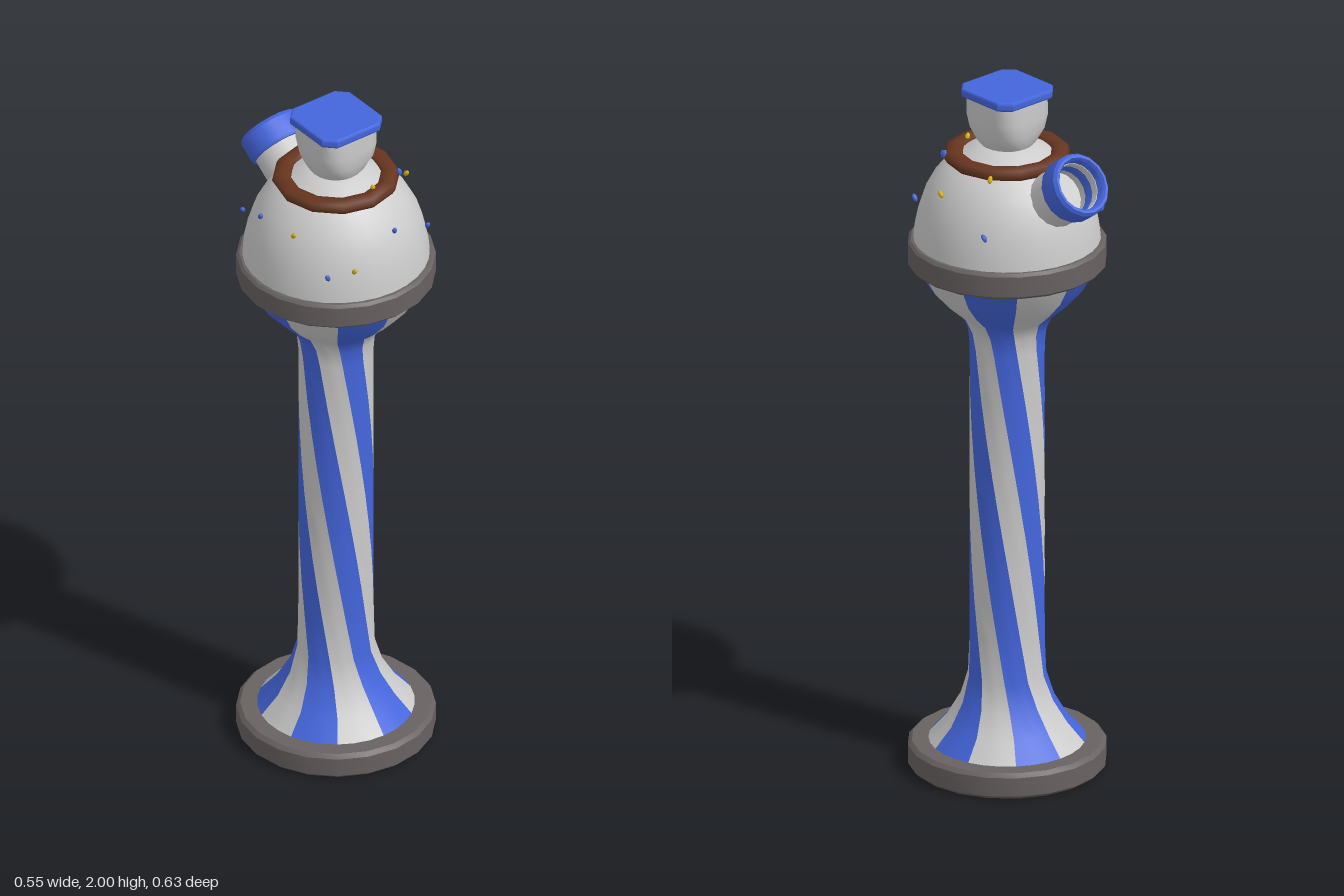
import * as THREE from 'three';
import { toCreasedNormals, mergeVertices } from 'three/addons/utils/BufferGeometryUtils.js';

const mat = (color) => new THREE.MeshStandardMaterial({ color, side: THREE.DoubleSide });
const white = mat(0xcccccc), blue = mat(0x4466dd), dark = mat(0x686261);
const brown = mat(0x66351f), yellow = mat(0xd6ae10);

function add(parent, name, geometry, material) {
  const mesh = new THREE.Mesh(geometry, material);
  mesh.name = name;
  parent.add(mesh);
  return mesh;
}

// Turned part from [radius, height] pairs, with edges kept sharp
function turned(points, sides = 20, crease = 0.6) {
  const g = new THREE.LatheGeometry(points.map(([r, y]) => new THREE.Vector2(r, y)), sides);
  return toCreasedNormals(g, crease);
}

// Surface from a rule point(u, v) over a grid
function surface(point, nu, nv) {
  const pos = [], index = [];
  for (let j = 0; j <= nv; j++)
    for (let i = 0; i <= nu; i++) pos.push(...point(i / nu, j / nv));
  for (let j = 0; j < nv; j++)
    for (let i = 0; i < nu; i++) {
      const a = j * (nu + 1) + i, b = a + nu + 1;
      index.push(a, a + 1, b, a + 1, b + 1, b);
    }
  let g = new THREE.BufferGeometry();
  g.setAttribute('position', new THREE.Float32BufferAttribute(pos, 3));
  g.setIndex(index);
  g = mergeVertices(g);
  g.computeVertexNormals();
  return g;
}

// Linear lookup of column radius at a height
const column = [[0.22, 0.07], [0.168, 0.13], [0.13, 0.195], [0.107, 0.27], [0.103, 0.4], [0.103, 1.24],
  [0.108, 1.29], [0.125, 1.33], [0.17, 1.37], [0.215, 1.42], [0.253, 1.49]];
function columnRadius(y) {
  const k = Math.max(1, column.findIndex((p) => p[1] >= y - 1e-6));
  const [r0, y0] = column[k - 1], [r1, y1] = column[k];
  return r0 + (r1 - r0) * (y - y0) / (y1 - y0);
}

export function createModel() {
  const model = new THREE.Group();
  const body = new THREE.Group();
  body.name = 'body';
  body.position.z = 0.04;
  model.add(body);

  // Foot disc and the collar under the dome
  add(body, 'foot', turned([[0, 0], [0.262, 0], [0.273, 0.01], [0.273, 0.064], [0.262, 0.075], [0, 0.077]]), dark);
  add(body, 'collar', turned([[0.24, 1.48], [0.265, 1.48], [0.273, 1.488], [0.273, 1.547], [0.265, 1.555], [0.24, 1.557]]), dark);

  // Ten stripes that twist along the straight part of the column
  const heights = [...column.map((p) => p[1])];
  for (let y = 0.5; y < 1.2; y += 0.1) heights.push(y);
  heights.sort((a, b) => a - b);
  for (let s = 0; s < 10; s++) {
    const stripe = surface((u, v) => {
      const y = heights[Math.round(v * (heights.length - 1))];
      const twist = THREE.MathUtils.clamp((y - 0.16) / (1.34 - 0.16), 0, 1) * -0.6 * Math.PI;
      const a = (s + u) * Math.PI / 5 + twist, r = columnRadius(y);
      return [r * Math.sin(a), y, r * Math.cos(a)];
    }, 3, heights.length - 1);
    add(body, 'columnStripe', stripe, s % 2 ? white : blue);
  }

  // Dome with a raised centre
  add(body, 'dome', turned([[0.258, 1.54], [0.253, 1.59], [0.243, 1.64], [0.227, 1.69], [0.2, 1.74],
    [0.165, 1.78], [0.13, 1.805], [0.1, 1.82], [0.07, 1.838], [0, 1.84]], 32, 1), white);

  // Flattened ring on top of the dome
  const ring = new THREE.TorusGeometry(0.148, 0.028, 8, 12);
  ring.rotateX(Math.PI / 2).scale(1, 0.7, 1);
  add(body, 'topRing', ring, brown).position.y = 1.802;

  // Neck that changes from round to square, as [half width, height, squareness]
  const neck = [[0.07, 1.832, 0], [0.08, 1.85, 0.1], [0.089, 1.88, 0.35], [0.092, 1.92, 0.6], [0.09, 1.985, 0.75]];
  add(body, 'neck', surface((u, v) => {
    const [w, y, q] = neck[Math.round(v * 4)];
    const a = u * 2 * Math.PI, s = Math.sin(a), c = Math.cos(a);
    const n = 2 + 4 * q;
    const r = w / Math.pow(Math.abs(s) ** n + Math.abs(c) ** n, 1 / n);
    return [r * s, y, r * c];
  }, 24, 4), white);

  // Square cap with cut corners
  const h = 0.097, c = 0.07;
  const square = new THREE.Shape([[h, -c], [h, c], [c, h], [-c, h], [-h, c], [-h, -c], [-c, -h], [c, -h]]
    .map(([x, y]) => new THREE.Vector2(x, y)));
  const cap = new THREE.ExtrudeGeometry(square, { depth: 0.012, bevelThickness: 0.007, bevelSize: 0.006, bevelSegments: 2 });
  cap.rotateX(-Math.PI / 2);
  add(body, 'cap', cap, blue).position.y = 1.981;

  // Hollow spout leaning up and back, its mouth at the local origin
  const spout = new THREE.Group();
  spout.name = 'spout';
  spout.position.set(0, 1.805, -0.265);
  spout.rotation.x = -THREE.MathUtils.degToRad(55);
  model.add(spout);
  add(spout, 'spoutPipe', turned([[0.08, -0.22], [0.08, -0.03], [0.068, -0.03], [0.068, -0.11], [0, -0.11]], 16), white);
  add(spout, 'spoutRim', turned([[0.078, -0.072], [0.087, -0.072], [0.091, -0.064], [0.091, -0.01], [0.084, 0],
    [0.077, 0], [0.071, -0.008], [0.066, -0.085]], 16), blue);

  // Sprinkles scattered over the dome
  const sprinkles = [
    [blue, [[-0.17, 1.655, -0.157], [0.216, 1.655, -0.103], [-0.223, 1.735, -0.007], [-0.175, 1.64, 0.233],
      [0.177, 1.665, 0.22], [0.026, 1.735, 0.27], [0.143, 1.81, 0.138]]],
    [yellow, [[0.15, 1.795, -0.055], [0.221, 1.735, 0.066], [-0.209, 1.735, 0.124], [0.03, 1.82, 0.168], [-0.111, 1.655, 0.27]]],
  ];
  const bead = new THREE.SphereGeometry(1, 8, 6).scale(0.007, 0.012, 0.007);
  for (const [material, spots] of sprinkles)
    spots.forEach((p, i) => {
      const m = add(model, 'sprinkle', bead, material);
      m.position.set(...p);
      m.rotation.set(0.5, i * 1.9, 0.6 - 0.4 * (i % 3));
    });

  return model;
}
